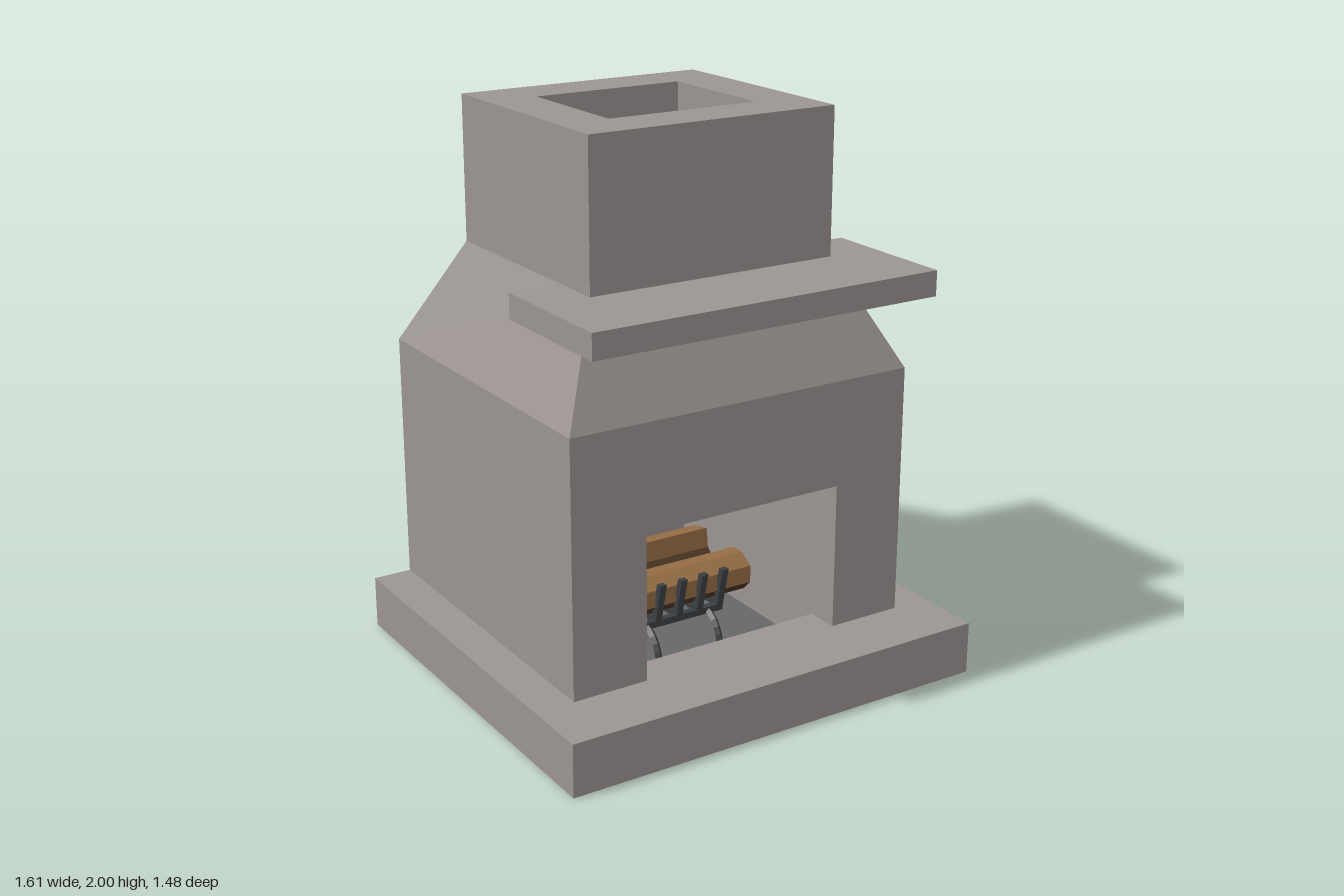
import * as THREE from 'three';

const mat = (color) => new THREE.MeshStandardMaterial({ color, flatShading: true });

export function createModel() {
  const group = new THREE.Group();
  group.name = 'fireplace';
  const stone = mat(0x9b9492), ash = mat(0x666766), wood = mat(0x946c45);
  const bark = mat(0x4a3523), iron = mat(0x3c3f41);

  const add = (name, geometry, material, parent = group) => {
    const mesh = new THREE.Mesh(geometry, material);
    mesh.name = name;
    parent.add(mesh);
    return mesh;
  };
  // box given by its limits on each axis
  const box = (name, x0, x1, y0, y1, z0, z1, material, parent) => {
    const g = new THREE.BoxGeometry(x1 - x0, y1 - y0, z1 - z0);
    g.translate((x0 + x1) / 2, (y0 + y1) / 2, (z0 + z1) / 2);
    return add(name, g, material, parent);
  };
  const polygon = (points) => new THREE.Shape(points.map(([x, y]) => new THREE.Vector2(x, y)));
  const extrude = (shape, depth) => new THREE.ExtrudeGeometry(shape, { depth, bevelEnabled: false });

  // skin over successive rectangles [y, halfWidth, zBack, zFront]
  const loft = (rows) => {
    const pos = [];
    const corners = rows.map(([y, h, z0, z1]) => [[-h, y, z1], [h, y, z1], [h, y, z0], [-h, y, z0]]);
    for (let r = 0; r < rows.length - 1; r++) {
      for (let i = 0; i < 4; i++) {
        const j = (i + 1) % 4;
        const a = corners[r][i], b = corners[r][j], c = corners[r + 1][j], d = corners[r + 1][i];
        pos.push(...a, ...b, ...c, ...a, ...c, ...d);
      }
    }
    const g = new THREE.BufferGeometry();
    g.setAttribute('position', new THREE.Float32BufferAttribute(pos, 3));
    g.computeVertexNormals();
    return g;
  };

  // hearth: slab with a sunken firebox floor
  add('hearth', loft([
    [0, 0.807, -0.74, 0.74], [0.19, 0.807, -0.74, 0.74],
    [0.19, 0.385, -0.46, 0.38], [0.06, 0.385, -0.46, 0.38],
  ]), stone);
  const underside = add('hearthUnderside', new THREE.PlaneGeometry(1.614, 1.48), stone);
  underside.rotation.x = Math.PI / 2;
  box('fireboxFloor', -0.385, 0.385, 0.02, 0.06, -0.46, 0.38, ash);

  // firebox walls, the front one with the opening
  const front = extrude(polygon([
    [-0.665, 0.19], [-0.385, 0.19], [-0.385, 0.72], [0.385, 0.72],
    [0.385, 0.19], [0.665, 0.19], [0.665, 1.1], [-0.665, 1.1],
  ]), 0.12);
  front.translate(0, 0, 0.38);
  add('frontWall', front, stone);
  box('leftWall', 0.385, 0.665, 0.19, 1.1, -0.74, 0.38, stone);
  box('rightWall', -0.665, -0.385, 0.19, 1.1, -0.74, 0.38, stone);
  box('backWall', -0.385, 0.385, 0.19, 1.1, -0.74, -0.46, stone);

  // tapering hood and chimney with an open flue
  add('hoodAndChimney', loft([
    [1.1, 0.665, -0.74, 0.5], [1.48, 0.475, -0.55, 0.31], [2, 0.475, -0.55, 0.31],
    [2, 0.287, -0.36, 0.12], [1.38, 0.287, -0.36, 0.12], [1.1, 0.385, -0.46, 0.38],
    [1.1, 0.665, -0.74, 0.5],
  ]), stone);
  box('mantel', -0.665, 0.665, 1.39, 1.48, 0.122, 0.645, stone);

  // split logs: [z, y] profile run along x
  const logs = new THREE.Group();
  logs.name = 'logs';
  group.add(logs);
  const log = (name, x0, x1, profile, material) => {
    const g = extrude(polygon(profile.map(([z, y]) => [-z, y])), x1 - x0);
    g.rotateY(Math.PI / 2);
    g.translate(x0, 0, 0);
    add(name, g, material, logs);
  };
  log('topLog', -0.305, 0.24,
    [[-0.215, 0.3], [-0.17, 0.37], [-0.085, 0.39], [-0.075, 0.31], [-0.14, 0.27]], wood);
  log('topLogBark', -0.305, 0.24,
    [[-0.2, 0.29], [-0.08, 0.32], [-0.03, 0.28], [-0.06, 0.23], [-0.17, 0.22]], bark);
  log('frontLog', -0.255, 0.31,
    [[-0.01, 0.325], [0.045, 0.325], [0.1, 0.29], [0.1, 0.225], [-0.01, 0.225]], wood);
  log('frontLogBark', -0.255, 0.31,
    [[-0.01, 0.225], [0.1, 0.225], [0.06, 0.185], [0.01, 0.185]], bark);
  log('bottomLog', -0.32, 0.345,
    [[-0.11, 0.22], [-0.08, 0.23], [0, 0.23], [0.02, 0.2], [-0.02, 0.17], [-0.09, 0.17]], wood);

  // iron grate: five upturned bars, two cross rails, two pairs of legs
  const grate = new THREE.Group();
  grate.name = 'grate';
  group.add(grate);
  for (let i = -2; i <= 2; i++) {
    const g = extrude(polygon([
      [0.245, 0.31], [0.22, 0.31], [0.18, 0.185], [-0.08, 0.185], [-0.112, 0.32],
      [-0.137, 0.32], [-0.1, 0.16], [0.2, 0.16],
    ]), 0.026);
    g.rotateY(Math.PI / 2);
    g.translate(i * 0.088 - 0.013, 0, 0);
    add('grateBar', g, iron, grate);
  }
  for (const z of [-0.17, 0.085]) box('crossRail', -0.19, 0.19, 0.145, 0.17, z - 0.013, z + 0.013, iron, grate);
  for (const x of [-0.13, 0.13]) {
    for (const [z, out] of [[-0.17, -0.27], [0.085, 0.17]]) {
      const path = new THREE.QuadraticBezierCurve3(
        new THREE.Vector3(x, 0.155, z), new THREE.Vector3(x, 0.14, (z + 3 * out) / 4),
        new THREE.Vector3(x, 0.06, out));
      add('grateLeg', new THREE.TubeGeometry(path, 5, 0.014, 4), iron, grate);
    }
  }
  return group;
}
